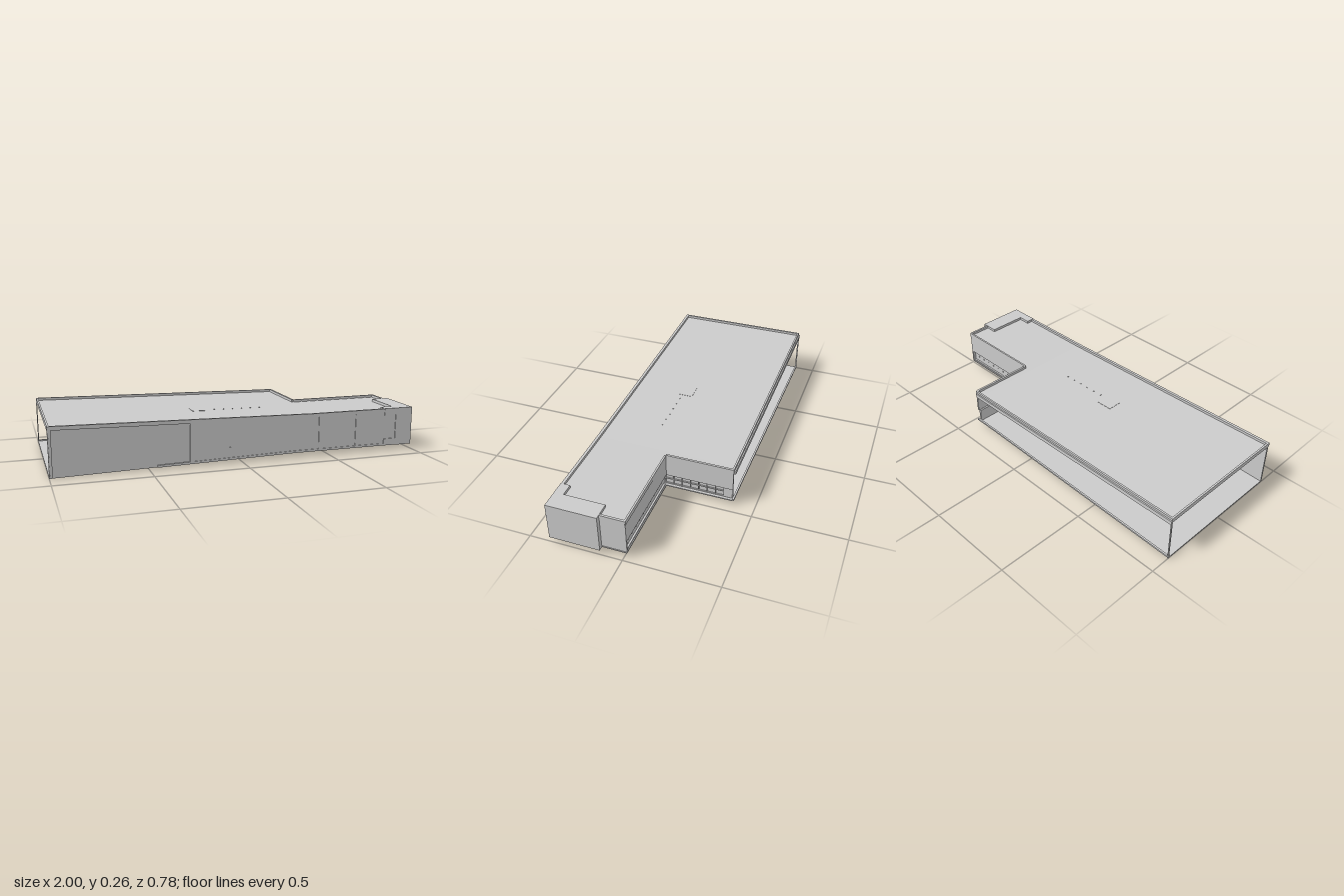
import * as THREE from 'three';

// Sloping floor and roof lines along the length of the building
const floorY = x => 0.028 * Math.min(1, (x + 1) / 1.3);
const roofY = x => 0.263 - 0.026 * Math.min(1, (x + 1) / 1.4);
const above = d => x => floorY(x) + d;
const below = d => x => roofY(x) - d;
const at = y => () => y;

export function createModel() {
  const model = new THREE.Group();
  const mat = new THREE.MeshStandardMaterial({ color: 0xcccccc, side: THREE.DoubleSide });

  // Box whose lower and upper faces follow two height rules
  function block(name, x0, x1, z0, z1, low, high) {
    const segs = Math.max(1, Math.round((x1 - x0) * 20));
    const box = new THREE.BoxGeometry(x1 - x0, 1, z1 - z0, segs, 1, 1);
    box.translate((x0 + x1) / 2, 0, (z0 + z1) / 2);
    const p = box.attributes.position;
    for (let i = 0; i < p.count; i++) {
      const x = p.getX(i);
      p.setY(i, p.getY(i) < 0 ? low(x) : high(x));
    }
    const geo = box.toNonIndexed();
    geo.computeVertexNormals();
    const mesh = new THREE.Mesh(geo, mat);
    mesh.name = name;
    model.add(mesh);
    return mesh;
  }

  // Floor and roof of the main hall and the wing
  for (const [part, x0, x1, z0, z1] of [
    ['hall', -1, 0.45, -0.38, 0.38],
    ['wing', 0.45, 0.975, -0.015, 0.38],
  ]) {
    block(part + 'Floor', x0, x1, z0, z1, floorY, above(0.006));
    block(part + 'Roof', x0, x1, z0, z1, below(0.022), below(0.014));
  }

  // Parapets around the roof
  block('leftParapet', -1, -0.99, -0.38, 0.38, below(0.024), roofY);
  block('backParapet', -1, 0.45, -0.385, -0.375, below(0.024), roofY);
  block('hallSideParapet', 0.44, 0.452, -0.38, -0.015, below(0.024), roofY);
  block('wingBackParapet', 0.45, 0.975, -0.018, -0.008, below(0.024), roofY);
  block('wingEndParapet', 0.965, 0.977, -0.015, 0.12, below(0.024), roofY);
  block('frontFascia', -1, 0.9, 0.375, 0.39, below(0.02), roofY);

  // Trim along the open back, with slender corner posts
  block('backCornice', -1, 0.44, -0.392, -0.38, below(0.035), below(0.013));
  block('backBaseTrim', -1, 0.45, -0.39, -0.38, above(0.004), above(0.013));
  for (const z of [-0.385, 0.38])
    block('leftCornerPost', -1, -0.995, z - 0.004, z + 0.004, floorY, below(0.02));

  // Front walls with shallow pilasters and panels
  block('frontWallLeft', -1, -0.28, 0.374, 0.382, floorY, below(0.015));
  block('frontWallMiddle', -0.28, 0.45, 0.376, 0.386, floorY, below(0.015));
  block('frontWallRight', 0.45, 0.9, 0.376, 0.386, floorY, below(0.015));
  for (const x of [-0.99, -0.28, 0.44, 0.66])
    block('pilaster', x - 0.007, x + 0.007, 0.378, 0.39, above(0.002), below(0.02));
  block('frontBaseTrim', -0.46, 0.9, 0.38, 0.39, floorY, above(0.012));
  block('frontDoorHandle', -0.1, -0.05, 0.386, 0.389, at(0.084), at(0.088));

  // Upper walls around the inner corner
  block('hallSideWall', 0.44, 0.45, -0.383, -0.015, at(0.104), below(0.012));
  block('wingBackWall', 0.45, 0.975, -0.016, -0.006, at(0.104), below(0.012));
  block('wingEndWall', 0.965, 0.975, -0.016, 0.12, at(0.038), below(0.012));
  block('wingEndSill', 0.955, 0.972, -0.012, 0.12, floorY, at(0.038));

  // Recessed glazing under the hall side wall
  block('sideGlazing', 0.428, 0.432, -0.38, -0.005, floorY, at(0.106));
  for (let i = 0; i <= 8; i++) {
    const z = -0.378 + i * 0.0465;
    block('sideMullion', 0.43, 0.44, z - 0.002, z + 0.002, at(0.036), at(0.105));
  }
  for (const y of [0.04, 0.072, 0.102])
    block('sideTransom', 0.43, 0.439, -0.38, -0.005, at(y - 0.002), at(y + 0.002));
  block('sideDoor', 0.43, 0.442, -0.378, -0.333, at(0.04), at(0.102));

  // Recessed band and sill under the wing back wall
  block('wingLowerWall', 0.43, 0.965, 0, 0.006, floorY, at(0.106));
  block('wingSill', 0.45, 0.965, -0.01, 0, floorY, at(0.042));
  for (let i = 0; i < 10; i++)
    block('wingWallStud', 0.49 + i * 0.048, 0.496 + i * 0.048, -0.003, 0, at(0.07), at(0.076));

  // End tower with two arms reaching over the front corner
  block('endTower', 0.9, 1, 0.117, 0.39, at(0.027), at(0.238));
  block('towerUpperArm', 0.83, 0.9, 0.34, 0.391, at(0.2), at(0.238));
  block('towerLowerArm', 0.83, 0.9, 0.34, 0.391, at(0.035), at(0.066));

  // Roof hatch and row of vents
  block('roofHatch', -0.2, -0.11, 0.04, 0.12, below(0.014), below(0.0125));
  for (let i = 0; i < 6; i++) {
    const x = -0.07 + i * 0.053;
    block('roofVent', x - 0.003, x + 0.003, 0.097, 0.103, below(0.014), below(0.011));
  }
  return model;
}
